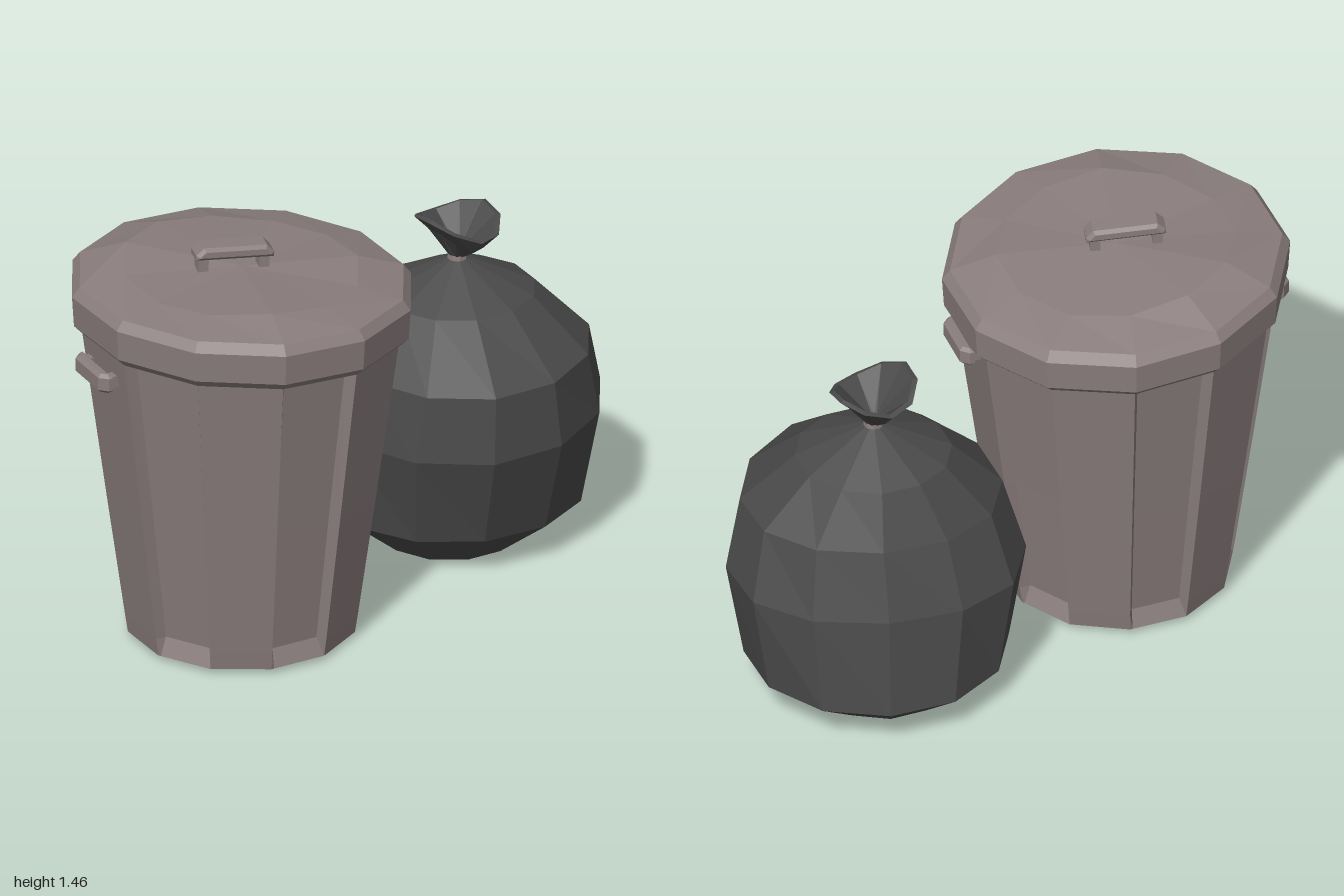
import * as THREE from 'three';

const metal = new THREE.MeshStandardMaterial({ color: 0x8a7d7d, flatShading: true });
const plastic = new THREE.MeshStandardMaterial({ color: 0x4a4a4a, flatShading: true, side: THREE.DoubleSide });

const rad = THREE.MathUtils.degToRad;
const polar = (r, deg, y) => [r * Math.cos(rad(deg)), y, r * Math.sin(rad(deg))];

// Ring of n points; y may be a number or a function of the angle
function ring(n, r, y) {
  return Array.from({ length: n }, (_, k) => {
    const deg = (k * 360) / n;
    return polar(r, deg, typeof y === 'function' ? y(deg, r) : y);
  });
}

// Skin a stack of equal-length rings, running upward on the outside
function loft(name, rings, material) {
  const n = rings[0].length;
  const index = [];
  for (let i = 0; i < rings.length - 1; i++) {
    for (let k = 0; k < n; k++) {
      const a = i * n + k, b = i * n + ((k + 1) % n);
      index.push(a, a + n, b + n, a, b + n, b);
    }
  }
  let geo = new THREE.BufferGeometry();
  geo.setAttribute('position', new THREE.Float32BufferAttribute(rings.flat(2), 3));
  geo.setIndex(index);
  geo = geo.toNonIndexed();
  geo.computeVertexNormals();
  const mesh = new THREE.Mesh(geo, material);
  mesh.name = name;
  return mesh;
}

// U-shaped grip in the XY plane: a chamfered bar on two posts
function grip(name, width, height, depth, thick) {
  const group = new THREE.Group();
  group.name = name;
  const w = width / 2, c = thick * 0.6, bevel = 0.012;
  const bar = new THREE.Shape();
  bar.moveTo(-w, height - thick);
  bar.lineTo(w, height - thick);
  bar.lineTo(w, height - c);
  bar.lineTo(w - c, height);
  bar.lineTo(-w + c, height);
  bar.lineTo(-w, height - c);
  const geo = new THREE.ExtrudeGeometry(bar, {
    depth: depth - 2 * bevel, bevelSize: bevel, bevelOffset: -bevel, bevelThickness: bevel, bevelSegments: 1,
  });
  geo.translate(0, 0, bevel - depth / 2);
  const barMesh = new THREE.Mesh(geo, metal);
  barMesh.name = name + 'Bar';
  group.add(barMesh);
  for (const s of [-1, 1]) {
    const post = new THREE.Mesh(new THREE.BoxGeometry(0.035, height - thick / 2, depth * 0.6), metal);
    post.position.set(s * (w - 0.03), (height - thick / 2) / 2, 0);
    post.name = name + 'Post';
    group.add(post);
  }
  return group;
}

// Twelve-sided wall where every other panel is recessed
function wallRing(r, y, inset) {
  const chord = (r * Math.cos(rad(15))) / Math.cos(rad(13.5)) - inset;
  const pts = [];
  for (let d = 0; d < 360; d += 60) {
    pts.push(polar(r, d, y), polar(chord, d + 1.5, y), polar(chord, d + 28.5, y), polar(r, d + 30, y));
  }
  return pts;
}

function makeCan() {
  const can = new THREE.Group();
  can.name = 'trashCan';
  can.position.set(-0.4, 0, 0.187);

  can.add(loft('canBody', [
    wallRing(0, 0.02, 0),
    wallRing(0.4, 0.02, 0),
    wallRing(0.41, 0.085, 0.035),
    wallRing(0.475, 0.55, 0.04),
    wallRing(0.562, 1.19, 0.04),
  ], metal));

  // Slightly tilted, dented lid
  const tilt = (y) => (deg, r) => {
    const [x, , z] = polar(r, deg, 0);
    return y - 0.05 * x + 0.03 * z;
  };
  const dents = [1.35, 1.34, 1.355, 1.38, 1.375, 1.37, 1.38, 1.40, 1.385, 1.355, 1.335, 1.335];
  can.add(loft('lid', [
    ring(12, 0, 1.17),
    ring(12, 0.5, tilt(1.17)),
    ring(12, 0.56, tilt(1.15)),
    ring(12, 0.59, tilt(1.18)),
    ring(12, 0.597, tilt(1.29)),
    ring(12, 0.57, tilt(1.325)),
    ring(12, 0.41, (deg) => dents[Math.round(deg / 30)]),
    ring(12, 0, 1.365),
  ], metal));

  const lidHandle = grip('lidHandle', 0.275, 0.12, 0.09, 0.045);
  lidHandle.position.set(-0.035, 1.335, -0.005);
  lidHandle.rotation.z = -0.06;
  can.add(lidHandle);

  // Side handles on opposite flat panels
  for (const deg of [-13, 167]) {
    const side = grip('sideHandle', 0.22, 0.11, 0.07, 0.045);
    side.position.set(...polar(0.485, deg, 1.09));
    side.rotation.set(Math.PI / 2, 0, -Math.PI / 2 + rad(deg));
    can.add(side);
  }
  return can;
}

function makeBag() {
  const bag = new THREE.Group();
  bag.name = 'trashBag';
  bag.position.set(0.49, 0, -0.31);

  // Sagging sack: x radius, z radius, height, centre offset and backward sweep of the sides
  const sack = [
    [0, 0, 0, -0.025, -0.03, 0], [0.25, 0.26, 0, -0.025, -0.03, 0],
    [0.455, 0.43, 0.145, -0.005, -0.04, 0], [0.515, 0.47, 0.5, -0.005, 0.05, 0.08],
    [0.45, 0.42, 0.74, 0.005, 0.08, 0.05], [0.27, 0.255, 0.925, 0, 0.005, 0],
    [0.035, 0.035, 1.04, 0, 0, 0],
  ];
  bag.add(loft('sack', sack.map(([rx, rz, y, dx, dz, sweep]) =>
    ring(12, 1, y).map(([x, , z]) => [dx + rx * x, y, dz + rz * z - sweep * x * x])), plastic));

  // Tie around the neck
  const tie = new THREE.Mesh(new THREE.CylinderGeometry(0.033, 0.036, 0.025, 8), metal);
  tie.position.y = 1.045;
  tie.name = 'tie';
  bag.add(tie);

  // Flared, wavy open top
  const wave = (y) => (deg) => y + 0.03 * Math.cos(rad(2 * deg - 300)) - 0.015 * Math.cos(rad(deg));
  bag.add(loft('bagTop', [
    ring(10, 0.028, 1.05),
    ring(10, 0.095, wave(1.125)),
    ring(10, 0.152, wave(1.185)),
    ring(10, 0.134, wave(1.19)),
    ring(10, 0.015, 1.07),
    ring(10, 0, 1.07),
  ], plastic));
  return bag;
}

export function createModel() {
  const model = new THREE.Group();
  model.name = 'trashCanAndBag';
  model.add(makeCan(), makeBag());
  return model;
}
